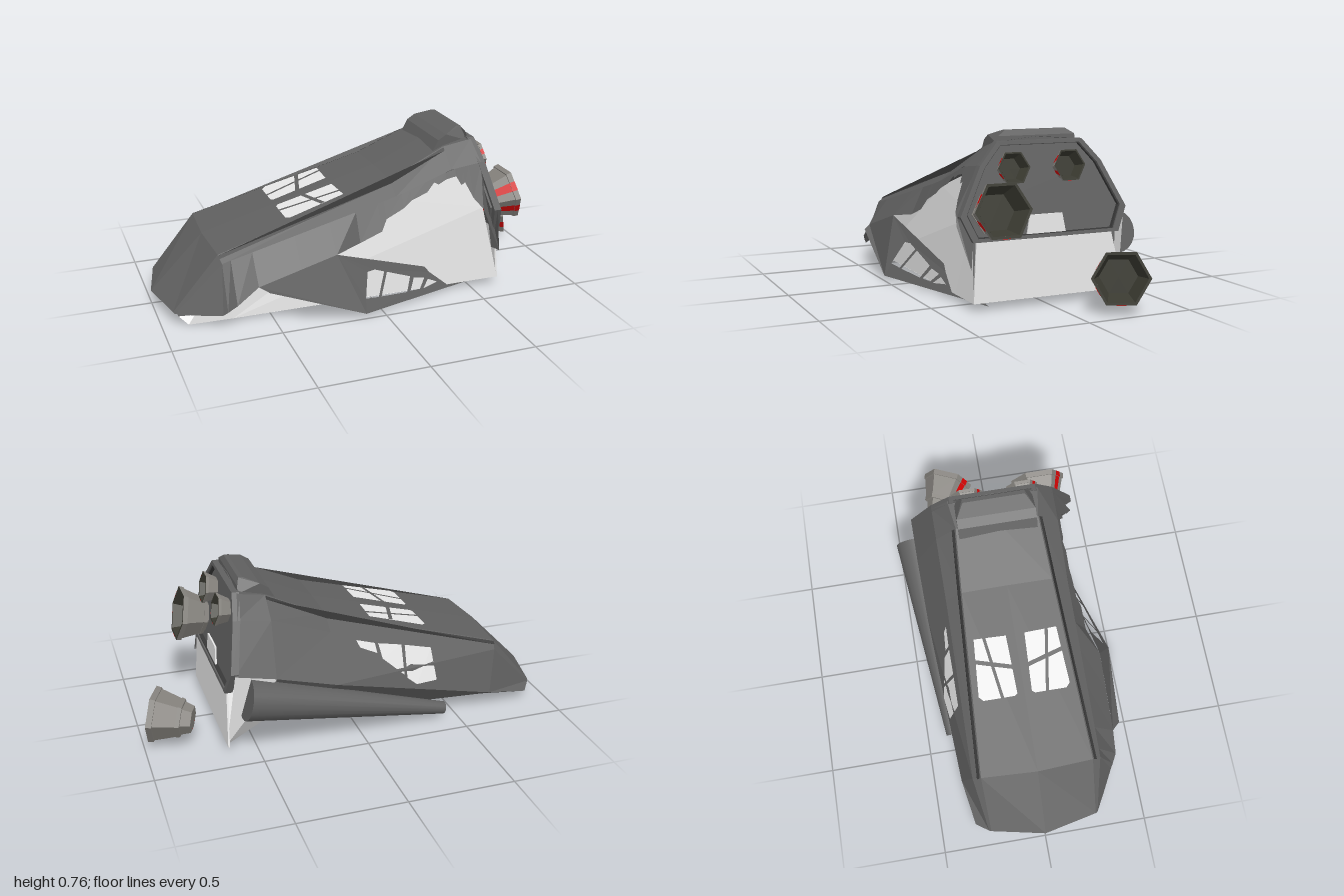
import * as THREE from 'three';

const mat = (name, color) => Object.assign(new THREE.MeshStandardMaterial({ color, side: THREE.DoubleSide }), { name });

// Faceted normals
function flat(g) {
  const f = g.index ? g.toNonIndexed() : g;
  f.computeVertexNormals();
  return f;
}

// Flat-shaded triangles from a flat list of coordinates
function facets(list) {
  const g = new THREE.BufferGeometry();
  g.setAttribute('position', new THREE.Float32BufferAttribute(list, 3));
  return flat(g);
}

// Sheet from 3D corner points, triangulated in the plane of axes a and b
function sheet(points, holes = [], a = 0, b = 1) {
  const to2 = (l) => l.map((p) => new THREE.Vector2(p[a], p[b]));
  const all = [points, ...holes].flat();
  const tris = THREE.ShapeUtils.triangulateShape(to2(points), holes.map(to2));
  return facets(tris.flat().flatMap((i) => all[i]));
}

// Cross-sections x y z: left chine, keel, right chine, right flank, roof, left shoulder
const SECTIONS = [
  [[-.88, 0, .28], [-.92, .035, .25], [-.9, .035, -.28], [-.895, .04, -.33], [-.94, .06, -.27],
    [-.945, .065, -.26], [-1, .065, 0], [-.945, .065, .26], [-.94, .06, .27]],
  [[-.68, .012, .31], [-.68, .035, .28], [-.68, .035, -.28], [-.68, .085, -.365], [-.72, .29, -.31],
    [-.73, .32, -.27], [-.745, .325, 0], [-.73, .32, .27], [-.72, .29, .31]],
  [[.12, .025, .34], [.12, .036, .31], [.12, .04, -.22], [.12, .28, -.405], [.12, .5, -.3],
    [.12, .56, -.22], [.12, .565, 0], [.12, .56, .22], [.12, .5, .3]],
  [[.42, .03, .35], [.42, .036, .32], [.42, .04, -.2], [.41, .36, -.41], [.4, .6, -.3],
    [.4, .685, -.2], [.4, .695, 0], [.4, .685, .2], [.4, .6, .3]],
  [[.64, .035, .36], [.64, .036, .33], [.64, .035, -.36], [.6, .4, -.41], [.555, .62, -.3],
    [.535, .715, -.22], [.53, .735, 0], [.535, .715, .22], [.555, .62, .3]],
];
const lerp3 = (p, q, t) => p.map((v, i) => v + (q[i] - v) * t);

// Point of the left shoulder line at a given x
function shoulder(x) {
  const line = SECTIONS.map((r) => r[8]);
  let i = 0;
  while (i < 3 && x > line[i + 1][0]) i++;
  return lerp3(line[i], line[i + 1], (x - line[i][0]) / (line[i + 1][0] - line[i][0]));
}

// Point on the left side skin at a given x and y
function onLeft([x, y]) {
  const yC = shoulder(x)[1];
  const t = Math.max(0, (yC - y) / (yC - (.06 + (x + .68) * .273)));
  return [x, y, t < 1 ? .3 + .11 * t : .41 - .05 * Math.min(1, t - 1)];
}

// Point on the right flank: u runs rearward, t runs down
function onRight([u, t]) {
  const [p, q] = [SECTIONS[1], SECTIONS[2]];
  const [x, y, z] = lerp3(lerp3(p[4], q[4], u), lerp3(p[3], q[3], u), t);
  return [x, y, z - .011];
}

export function createModel() {
  const root = new THREE.Group();
  root.name = 'wreckedSpacecraft';
  const hull = mat('hullGrey', 0x606060), pale = mat('paleInterior', 0xebebeb);
  const trim = mat('darkTrim', 0x383838), metal = mat('engineGrey', 0x85827d);
  const red = mat('stripeRed', 0xd40404), nozzle = mat('nozzleDark', 0x3a3a31);
  const add = (name, geo, m, parent = root) => {
    const mesh = new THREE.Mesh(geo, m);
    mesh.name = name;
    parent.add(mesh);
    return mesh;
  };

  // Hull skin; the left side stays open for the torn panels, the belly is bare at the rear and left edge
  const QUAD = [0, 3, 1, 1, 3, 2];
  const skin = [], belly = [];
  for (let s = 0; s < 4; s++) {
    for (let b = 0; b < 8; b++) {
      const q = [SECTIONS[s][b], SECTIONS[s + 1][b], SECTIONS[s + 1][b + 1], SECTIONS[s][b + 1]];
      (b === 0 || (s === 3 && b < 3) ? belly : skin).push(...QUAD.flatMap((i) => q[i]));
    }
  }
  add('hullSkin', facets(skin), hull);
  add('bareBelly', facets(belly), pale);

  // Pale inner wall exposed by the damage
  add('innerWall', sheet([[-.88, 0, .28], [-.72, .26, .3], [.12, .48, .285], [.5, .6, .285],
    [.56, .4, .33], [.64, .035, .36], [.42, .03, .35], [.12, .025, .34], [-.68, .012, .31]]), pale);

  // Left side skin hanging from the shoulder down to a ragged tear
  const rag = [[-.08, .32], [.03, .36], [.06, .41], [.15, .45], [.19, .48], [.27, .51], [.31, .55], [.33, .54],
    [.37, .56], [.42, .57], [.44, .53], [.46, .54], [.49, .47]];
  const tear = [[-.94, .06, .27], [-.85, .06, .32], [-.74, .068, .378], [-.72, .085, .39], [-.68, .12, .41],
    [-.58, .197, .41], [-.38, .25, .41], [-.21, .3, .41], ...rag.map(onLeft)];
  const side = [];
  for (let i = 0; i < tear.length - 1; i++) {
    const q = [tear[i], tear[i + 1], shoulder(tear[i + 1][0]), shoulder(tear[i][0])];
    side.push(...[0, 1, 2, 0, 2, 3].flatMap((j) => q[j]));
  }
  add('tornSideSkin', facets(side), hull);
  add('rearSideSkin', sheet([shoulder(.49), [.555, .62, .3], [.6, .41, .41], [.64, .18, .37],
    ...[[.6, .2], [.555, .36], [.53, .42], [.49, .47]].map(onLeft)]), hull);

  // Bent panels flaring outward, the rear one with window openings
  const A = [-.21, .3, .41], B = [-.1, .025, .5], C = [.62, .012, .28], P = [-.54, .18, .45];
  add('bentPanelFront', sheet([[-.58, .197, .41], P, B, A]), hull);
  const onFin = ([x, y]) => [x, y, .5 - .3144 * (x + .1) - .4894 * (y - .025)];
  add('bentPanelRear', sheet([A, B, C], [
    [[-.06, .19], [-.02, .19], [.03, .17], [-.02, .075], [-.09, .085]],
    [[.045, .165], [.17, .115], [.14, .055], [-.005, .073]],
    [[.19, .105], [.25, .09], [.215, .05], [.16, .055]],
    [[.27, .08], [.32, .055], [.235, .047]],
  ].map((h) => h.map(onFin))), hull);

  // Roof windows with crossing bars
  const roofY = (x) => .3235 + (x + .74) * .2775;
  for (const s of [1, -1]) {
    const roof = (pts, lift) => sheet(pts.map(([x, z]) => [x, roofY(x) + lift, z * s]), [], 0, 2);
    add('roofWindow', roof([[-.38, .035], [-.11, .045], [-.105, .2], [-.37, .22], [-.39, .2], [-.39, .05]], .008), pale);
    add('roofWindowBar', roof([[-.395, .1], [-.395, .115], [-.1, .16], [-.1, .145]], .011), hull);
    add('roofWindowBar', roof([[-.27, .03], [-.25, .03], [-.2, .21], [-.22, .21]], .011), hull);
  }

  // Side windows on the intact flank
  const panes = [
    [[.37, .76], [.41, .08], [.57, .08], [.56, .76], [.5, .88]],
    [[.59, .08], [.578, .7], [.71, .4], [.73, .1]],
    [[.75, .1], [.74, .3], [.84, .22], [.86, .08]],
  ];
  for (const p of panes) add('sideWindow', sheet(p.map(onRight)), pale);

  // Dark seams along both roof ridges
  for (const s of [1, -1]) {
    const seam = SECTIONS.slice(1, 4).map((r) => r[7]);
    add('ridgeSeam', sheet([...seam.map(([x, y, z]) => [x, y - .002, (z + .006) * s]),
      ...[...seam].reverse().map(([x, y, z]) => [x, y - .014, (z + .02) * s])], [], 0, 2), trim);
  }

  // Rear bulkhead, raised frame and pale lower plate, each leaning forward with height
  const outline = (k) => [[.36, .3], [.41, .41], [.3, .62], [.21, .72], [-.21, .72], [-.3, .62], [-.41, .41], [-.36, .3]]
    .map(([z, y]) => new THREE.Vector2(z * k, .5 + (y - .5) * k));
  const rear = (shape, depth, x0, lean = .2) => {
    const g = new THREE.ExtrudeGeometry(shape, { depth, bevelEnabled: false });
    g.rotateY(Math.PI / 2);
    const p = g.attributes.position;
    for (let i = 0; i < p.count; i++) p.setX(i, p.getX(i) + x0 - (p.getY(i) - .3) * lean);
    return flat(g);
  };
  const frame = new THREE.Shape(outline(1));
  frame.holes.push(new THREE.Path(outline(.93)));
  add('rearFrame', rear(frame, .035, .605), hull);
  add('rearBulkhead', rear(new THREE.Shape(outline(.94)), .02, .595), hull);
  const lining = new THREE.Shape(outline(.93));
  lining.holes.push(new THREE.Path(outline(.915)));
  add('rearFrameLining', rear(lining, .028, .605), trim);
  const plate = [[.33, .3], [.1, .295], [.08, .4], [-.08, .4], [-.1, .295], [-.34, .3], [-.36, .035], [.39, .035]];
  add('rearLowerPlate', rear(new THREE.Shape(plate.map(([z, y]) => new THREE.Vector2(z, y))), .008, .618, .06), pale);

  // Raised fairing on the roof at the rear
  const block = new THREE.Shape([[.35, .66], [.38, .715], [.42, .74], [.49, .765], [.51, .765], [.525, .74], [.53, .7]]
    .map((p) => new THREE.Vector2(...p)));
  const fairing = new THREE.ExtrudeGeometry(block, { depth: .38, bevelEnabled: false }).translate(0, 0, -.19);
  const fp = fairing.attributes.position;
  for (let i = 0; i < fp.count; i++) if (fp.getY(i) > .75) fp.setZ(i, fp.getZ(i) * .79);
  add('roofFairing', flat(fairing), hull);

  // Tapered boom along the right flank
  const from = new THREE.Vector3(-.43, .05, -.375), to = new THREE.Vector3(.55, .28, -.405);
  const boom = add('sideBoom', new THREE.CylinderGeometry(.1, .03, from.distanceTo(to), 20), hull);
  boom.position.copy(from).lerp(to, .5);
  boom.quaternion.setFromUnitVectors(new THREE.Vector3(0, 1, 0), to.clone().sub(from).normalize());

  // Six-sided engine: the origin is the centre of its mouth, the exhaust points to +x
  function engine(name, r, len, pos, yaw, tilt) {
    const g = new THREE.Group();
    g.name = name;
    const ring = (part, r0, r1, x0, x1, m, open = true, start = 0, arc = Math.PI * 2, seg = 6) => {
      const c = new THREE.CylinderGeometry(r1 * r, r0 * r, (x1 - x0) * len, seg, 1, open, start, arc);
      c.rotateZ(-Math.PI / 2).translate((x0 + x1) / 2 * len, 0, 0);
      add(part, flat(c), m, g);
    };
    ring('engineThroat', .48, .6, -1, -.74, metal, false);
    ring('engineCollar', .68, .72, -.76, -.66, metal, false);
    ring('engineBell', .68, .93, -.68, -.12, metal);
    ring('engineRim', .97, 1, -.14, 0, metal);
    ring('engineRimBack', .9, .97, -.141, -.14, metal);
    ring('engineLip', .9, 1, -.002, 0, nozzle);
    ring('engineMouth', .64, .9, -.5, 0, nozzle);
    ring('engineFloor', .66, .66, -.5, -.48, nozzle, false);
    // Red stripes along the middle of the two outer facets and the bottom one
    for (const deg of [30, -30, 90]) {
      const half = .19, k = Math.cos(Math.PI / 6) / Math.cos(half) * 1.015;
      const stripe = (...a) => ring('engineStripe', ...a, red, true, THREE.MathUtils.degToRad(deg) - half, half * 2, 1);
      stripe(.48 * k, .6 * k, -1, -.76);
      stripe(.69 * k, .94 * k, -.66, -.14);
      stripe(.97 * k, 1 * k, -.14, 0);
    }
    g.position.set(...pos);
    g.rotation.set(0, yaw, tilt, 'YZX');
    root.add(g);
  }
  engine('largeEngine', .135, .175, [.73, .445, .26], 0, .22);
  engine('smallEngineLeft', .078, .1, [.618, .61, .157], 0, .2);
  engine('smallEngineRight', .078, .1, [.618, .61, -.117], 0, .2);
  engine('looseEngine', .13, .19, [.947, .157, -.185], -.42, .1);

  return root;
}
